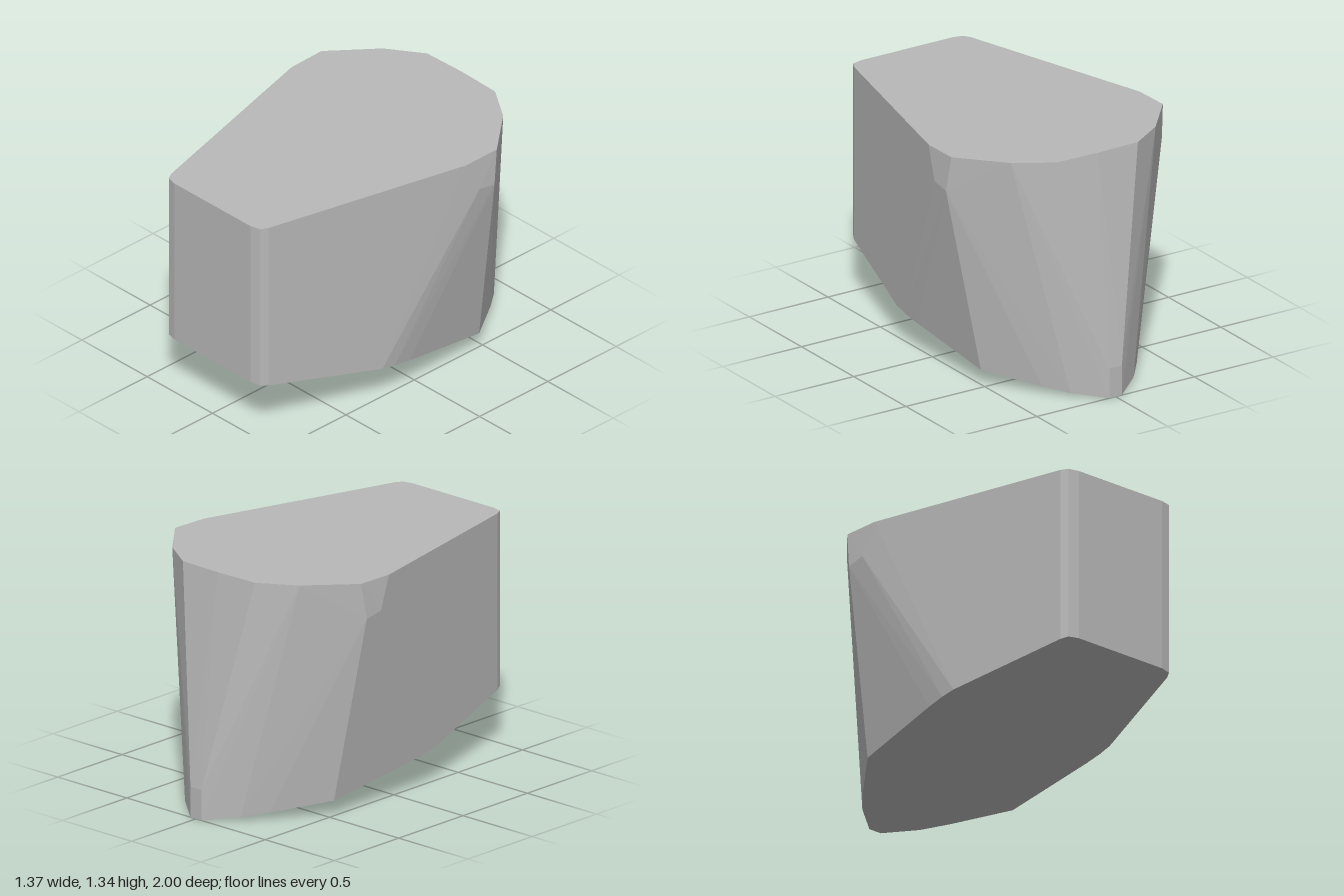
import * as THREE from 'three';
import { ConvexGeometry } from 'three/addons/geometries/ConvexGeometry.js';

export function createModel() {
  const group = new THREE.Group();
  group.name = 'facetedBlock';
  const grey = new THREE.MeshStandardMaterial({ color: 0xb8b8b8 });
  grey.name = 'plain grey';

  // Gently sloping lid and steeper sloping underside, as height over z
  const topY = (z) => 1.3235 - 0.0165 * z;
  const bottomY = (z) => 0.165 * (z + 1);

  // Half outlines as [x, z], front to back
  const front = [[0.29, 1], [0.35, 0.985], [0.372, 0.945]];
  const top = [...front, [0.67, -0.22], [0.672, -0.44], [0.46, -0.69], [0.26, -0.822], [0, -0.83]];
  const bottom = [...front, [0.544, 0.275], [0.55, 0.19], [0.547, 0.08], [0.505, -0.47],
    [0.3, -0.75], [0.2, -0.87], [0.04, -1]];
  // Shoulder corners below the lid and the top of the rear keel, as [x, y, z]
  const corners = [[0.686, 1.15, -0.3], [0.686, 1.13, -0.41], [0.04, 0.17, -1]];

  const half = [
    ...top.map(([x, z]) => [x, topY(z), z]),
    ...bottom.map(([x, z]) => [x, bottomY(z), z]),
    ...corners,
  ];
  // Mirror the half and wrap it in flat facets
  const points = [];
  for (const [x, y, z] of half) {
    points.push(new THREE.Vector3(x, y, z));
    if (x > 0) points.push(new THREE.Vector3(-x, y, z));
  }
  const body = new THREE.Mesh(new ConvexGeometry(points), grey);
  body.name = 'body';
  group.add(body);
  return group;
}
